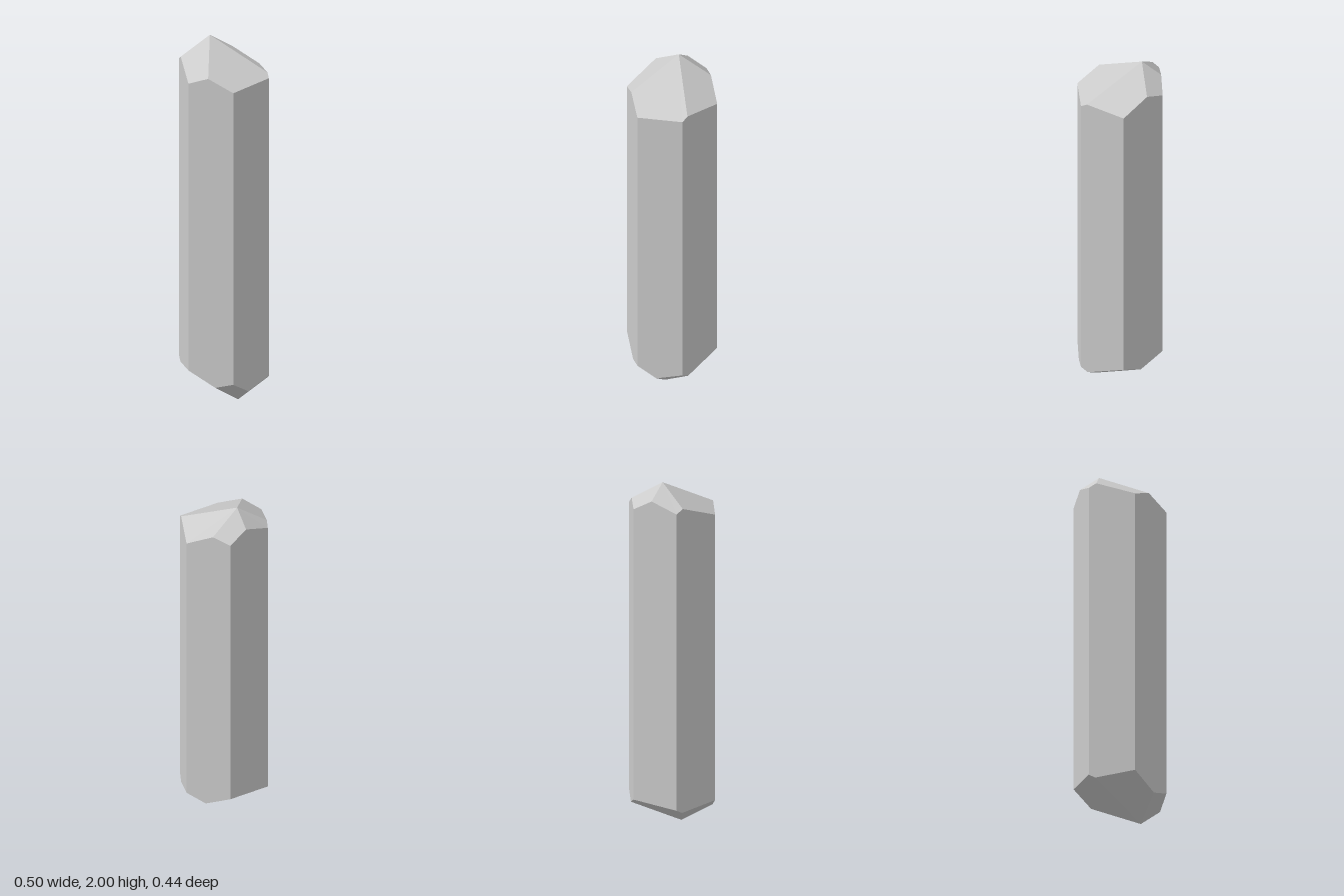
import * as THREE from 'three';

const R = 0.252, H = 2;
const APEX = new THREE.Vector3(-0.1, H, -0.06);

// Upper rim: [position around the hexagon (whole number = corner), height]
const RIM = [
  [0, 1.815], [1, 1.79], [1.56, 1.855], [2, 1.815], [2.84, 1.893], [3, 1.87],
  [3.58, 1.922], [4, 1.861], [4.4, 1.89], [5, 1.809], [5.86, 1.835],
];

const corner = (k) => new THREE.Vector3(R * Math.cos(k * Math.PI / 3), 0, R * Math.sin(k * Math.PI / 3));

function rimPoint([s, y]) {
  const k = Math.floor(s);
  return corner(k).lerp(corner(k + 1), s - k).setY(y);
}

// The lower end is the upper end reflected through the crystal's centre
const reflect = (p) => new THREE.Vector3(-p.x, H - p.y, -p.z);

// Rim points along hexagon edge k, both corners included
function edgePoints(k) {
  const points = RIM.filter(([s]) => s >= k && s < k + 1).map(rimPoint);
  points.push(rimPoint(RIM.find(([s]) => s === (k + 1) % 6)));
  return points;
}

// Flat-shaded mesh from convex polygons, each split as a fan
function facetMesh(name, polygons, material) {
  const points = [];
  for (const poly of polygons) {
    for (let i = 1; i < poly.length - 1; i++) points.push(poly[0], poly[i], poly[i + 1]);
  }
  const geometry = new THREE.BufferGeometry().setFromPoints(points);
  geometry.computeVertexNormals();
  const mesh = new THREE.Mesh(geometry, material);
  mesh.name = name;
  return mesh;
}

export function createModel() {
  const group = new THREE.Group();
  group.name = 'crystal';
  const material = new THREE.MeshStandardMaterial({ color: 0xcccccc, flatShading: true });

  // Six tall side faces with slanted ends
  const sides = [];
  for (let k = 0; k < 6; k++) {
    const top = edgePoints(k);
    const bottom = edgePoints((k + 3) % 6).map(reflect).reverse();
    sides.push([...top, ...bottom]);
  }
  group.add(facetMesh('hexagonalShaft', sides, material));

  // Five-faceted points, with off-centre tips
  const rim = RIM.map(rimPoint);
  const tip = rim.map((p, i) => [APEX, rim[(i + 1) % rim.length], p]);
  group.add(facetMesh('upperPoint', tip, material));
  const lower = tip.map((tri) => tri.map(reflect).reverse());
  group.add(facetMesh('lowerPoint', lower, material));

  return group;
}
